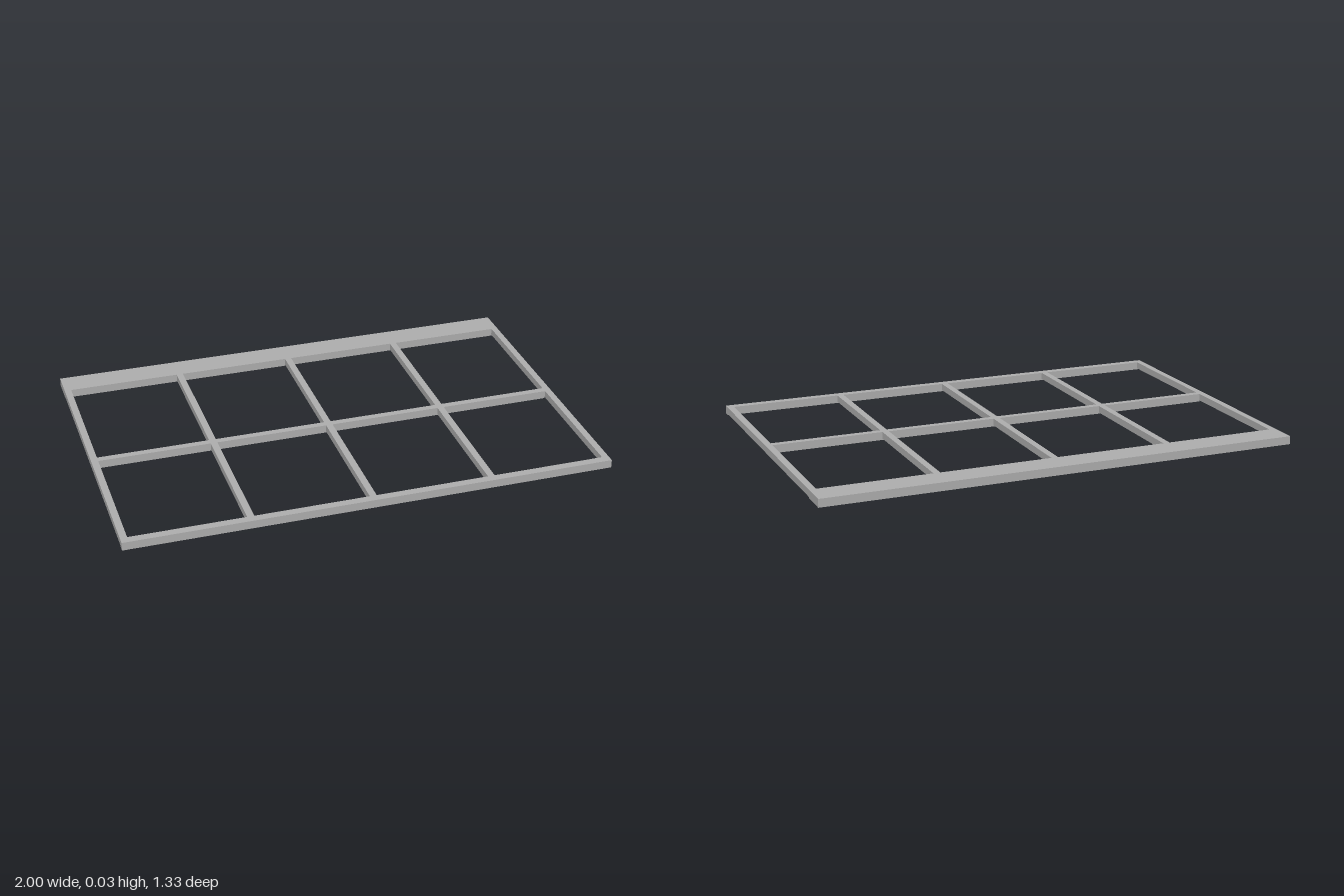
import * as THREE from 'three';

const TOP = 0.034;       // all members finish flush on top
const BAR = 0.028;       // width of the slim members
const BAR_BOTTOM = 0.005; // lengthwise bars are slightly shallower than the rails

export function createModel() {
  const model = new THREE.Group();
  model.name = 'gridFrame';
  const grey = new THREE.MeshStandardMaterial({ color: 0xb0b0b0 });
  grey.name = 'grey';

  // Box given by its extents
  function member(name, x0, x1, y0, z0, z1) {
    const mesh = new THREE.Mesh(new THREE.BoxGeometry(x1 - x0, TOP - y0, z1 - z0), grey);
    mesh.position.set((x0 + x1) / 2, (y0 + TOP) / 2, (z0 + z1) / 2);
    mesh.name = name;
    model.add(mesh);
  }

  // Rails across the width: wide back, slim middle and front
  const back = [-0.667, -0.552];
  const middle = [0.034, 0.062];
  const front = [0.634, 0.667];
  member('backRail', -1, 1, 0, ...back);
  member('middleRail', -1 + BAR, 1 - BAR, 0, ...middle);
  member('frontRail', -1, 1, 0, ...front);

  // Side bars run unbroken between the front and back rails
  for (const side of [-1, 1]) {
    const x = side * (1 - BAR / 2);
    member(side > 0 ? 'leftSideBar' : 'rightSideBar', x - BAR / 2, x + BAR / 2, BAR_BOTTOM, back[1], front[0]);
  }

  // Inner bars are split by the middle rail
  for (const i of [-1, 0, 1]) {
    const x = i * 0.493;
    member('rearInnerBar', x - BAR / 2, x + BAR / 2, BAR_BOTTOM, back[1], middle[0]);
    member('frontInnerBar', x - BAR / 2, x + BAR / 2, BAR_BOTTOM, middle[1], front[0]);
  }

  return model;
}
